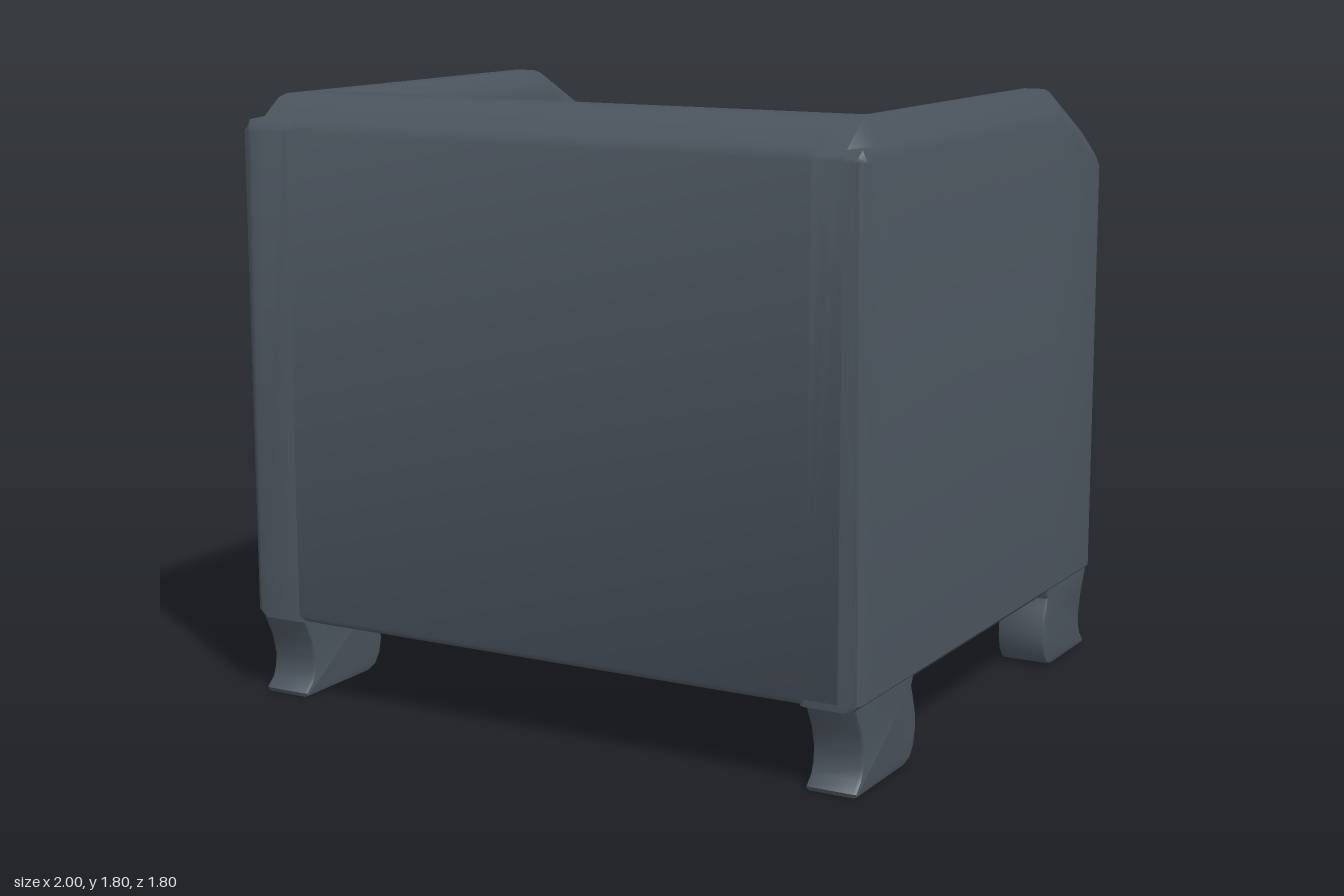
import * as THREE from 'three';
import { toCreasedNormals } from 'three/addons/utils/BufferGeometryUtils.js';

const material = new THREE.MeshStandardMaterial({ color: 0x4b545e });

function addPart(parent, name, geometry, crease = 0.6) {
  const mesh = new THREE.Mesh(toCreasedNormals(geometry, crease), material);
  mesh.name = name;
  parent.add(mesh);
}

// Skin a row of closed rings ([x, y, z] points) and cap both ends.
function loft(rings) {
  const n = rings[0].length, pos = rings.flat(2), index = [];
  for (let r = 0; r < rings.length - 1; r++) {
    for (let i = 0; i < n; i++) {
      const a = r * n + i, b = r * n + (i + 1) % n;
      index.push(a, b, b + n, a, b + n, a + n);
    }
  }
  [0, rings.length - 1].forEach((r, end) => {
    const flat = rings[r].map(p => {
      const alongX = rings[0][0][0] === rings[0][1][0];
      return new THREE.Vector2(alongX ? p[2] : p[0], p[1]);
    });
    const ccw = !THREE.ShapeUtils.isClockWise(flat);
    for (const t of THREE.ShapeUtils.triangulateShape(flat, [])) {
      const [a, b, c] = t.map(i => r * n + i);
      const keep = (end === 1) === ccw;
      // earcut keeps the ring's own direction only for counter-clockwise rings
      const area = THREE.ShapeUtils.area(t.map(i => flat[i]));
      const same = (area > 0) === ccw;
      if (same === (end === 1)) index.push(a, b, c); else index.push(a, c, b);
    }
  });
  // Turn the faces outward if the enclosed volume comes out negative.
  const v = i => new THREE.Vector3().fromArray(pos, i * 3);
  let volume = 0;
  for (let i = 0; i < index.length; i += 3) {
    volume += v(index[i]).dot(v(index[i + 1]).cross(v(index[i + 2])));
  }
  if (volume < 0) index.reverse();
  const g = new THREE.BufferGeometry();
  g.setAttribute('position', new THREE.Float32BufferAttribute(pos, 3));
  g.setIndex(index);
  return g;
}

// Linear lookup in a list of [key, value] pairs.
function lookup(table, k) {
  for (let i = 1; i < table.length; i++) {
    const [k0, v0] = table[i - 1], [k1, v1] = table[i];
    if (k <= k1) return v0 + (v1 - v0) * (k - k0) / (k1 - k0);
  }
  return table[table.length - 1][1];
}

// Arm panel: cross-section with softened top, following the side outline.
const armSection = [[0.82, 0.24], [0.98, 0.24], [1, 0.26], [1, 1.70], [0.985, 1.735],
  [0.94, 1.80], [0.875, 1.80], [0.835, 1.76], [0.82, 1.72]];
const armTop = [[-0.84, 1.61], [-0.825, 1.637], [-0.5, 1.8], [0.76, 1.8],
  [0.8, 1.79], [0.88, 1.73], [0.9, 1.70]];

function armGeometry(side) {
  const stations = [[-0.84, 0.02], [-0.825, 0.005], [-0.81, 0], [-0.52, 0], [-0.48, 0],
    [0.76, 0], [0.8, 0], [0.88, 0], [0.893, 0.006], [0.9, 0.02]];
  return loft(stations.map(([z, inset]) => {
    const top = lookup(armTop, z);
    return armSection.map(([x, y]) => {
      const px = x + Math.sign(0.91 - x) * inset;
      const py = y < 1 ? y : z > 0 ? Math.min(y, top) : y + top - 1.8;
      return [side * px, py, z];
    });
  }));
}

// S-curved leg; "out" is the distance inward from the outer face.
function legGeometry(side, end) {
  const narrow = end > 0 ? 0 : 0.03, b = 0.012;
  const at = (o, y) => new THREE.Vector2(end > 0 ? 0.9 - o : -0.84 + o, y);
  const outer = [[0.005, 0.3], [0.005, 0.27], [0.02, 0.23], [0.05, 0.17], [0.065, 0.11],
    [0.062, 0.07], [0.05, 0.04], [0.02, 0.012], [0.025, 0]];
  const inner = [[0.33, 0], [0.37, 0.012], [0.395, 0.045], [0.405, 0.09], [0.402, 0.14],
    [0.385, 0.19], [0.375, 0.22], [0.385, 0.24], [0.385, 0.3]];
  const shape = new THREE.Shape([...outer.map(([o, y]) => at(o, y)),
    ...inner.map(([o, y]) => at(o - narrow, y))]);
  const g = new THREE.ExtrudeGeometry(shape, { depth: 0.155 - 2 * b, bevelThickness: b,
    bevelSize: b, bevelOffset: -b, bevelSegments: 2 });
  g.rotateY(-Math.PI / 2);
  g.translate(side * 0.9125 + 0.0775 - b, 0, 0);
  return g;
}

// Loose pillow: sections across the width, bulging most near the middle.
function pillowGeometry() {
  const front = [[-0.8, 0.08], [-0.55, 0], [-0.3, -0.04], [0, -0.11], [0.2, -0.11],
    [0.45, -0.03], [0.65, 0.06], [0.83, 0.22]];
  const crown = [[-0.8, 1.6], [-0.7, 1.68], [-0.45, 1.69], [0, 1.65], [0.4, 1.65],
    [0.65, 1.64], [0.75, 1.62], [0.83, 1.54]];
  const rings = [];
  for (let i = 0; i <= 24; i++) {
    const x = -0.8 + 1.63 * i / 24, f = lookup(front, x), t = lookup(crown, x);
    const d = 0.53 - f;
    const curve = new THREE.SplineCurve([[0.53, 1], [f + 0.1, 1], [f + 0.01, 1.09],
      [f, 1.18], [f + 0.08 * d, 1.33], [f + 0.35 * d, t - 0.15], [f + 0.68 * d, t - 0.03],
      [f + 0.85 * d, t], [0.535, t - 0.03]].map(p => new THREE.Vector2(...p)));
    rings.push(curve.getPoints(24).map(p => [x, p.y, Math.min(p.x, 0.54)]));
  }
  return loft(rings);
}

export function createModel() {
  const chair = new THREE.Group();
  chair.name = 'armchair';

  // Arms and legs, mirrored
  for (const side of [1, -1]) {
    const word = side > 0 ? 'left' : 'right';
    addPart(chair, word + 'Arm', armGeometry(side));
    addPart(chair, word + 'RearLeg', legGeometry(side, 1));
    addPart(chair, word + 'FrontLeg', legGeometry(side, -1));
  }

  // Backrest with sloped outer and inner top edges
  const backSection = [[0.53, 0.24], [0.88, 0.24], [0.893, 0.246], [0.9, 0.26], [0.9, 1.70],
    [0.88, 1.73], [0.8, 1.79], [0.76, 1.80], [0.63, 1.80], [0.57, 1.77], [0.53, 1.71]];
  addPart(chair, 'backrest',
    loft([-0.94, 0.94].map(x => backSection.map(([z, y]) => [x, y, z]))));

  // Seat base and apron
  const base = new THREE.BoxGeometry(1.68, 0.4, 1.69);
  base.translate(0, 0.44, 0.02);
  addPart(chair, 'seatBase', base);

  // Seat cushion with a rounded front roll, softened at both ends
  const cushionSection = [[0.55, 0.6], [-0.84, 0.6], [-0.88, 0.61], [-0.9, 0.64],
    [-0.9, 0.84], [-0.885, 0.88], [-0.84, 0.92], [-0.7, 0.95], [-0.3, 1.02], [0.1, 1.06], [0.55, 1.08]];
  const cushionRings = [[-0.825, 0.02], [-0.815, 0.006], [-0.8, 0], [0.8, 0], [0.815, 0.006], [0.825, 0.02]];
  addPart(chair, 'seatCushion', loft(cushionRings.map(([x, inset]) =>
    cushionSection.map(([z, y]) => [x, y > 0.8 ? y - inset : y, z < -0.8 ? z + inset : z]))));

  addPart(chair, 'pillow', pillowGeometry(), 0.9);
  return chair;
}
